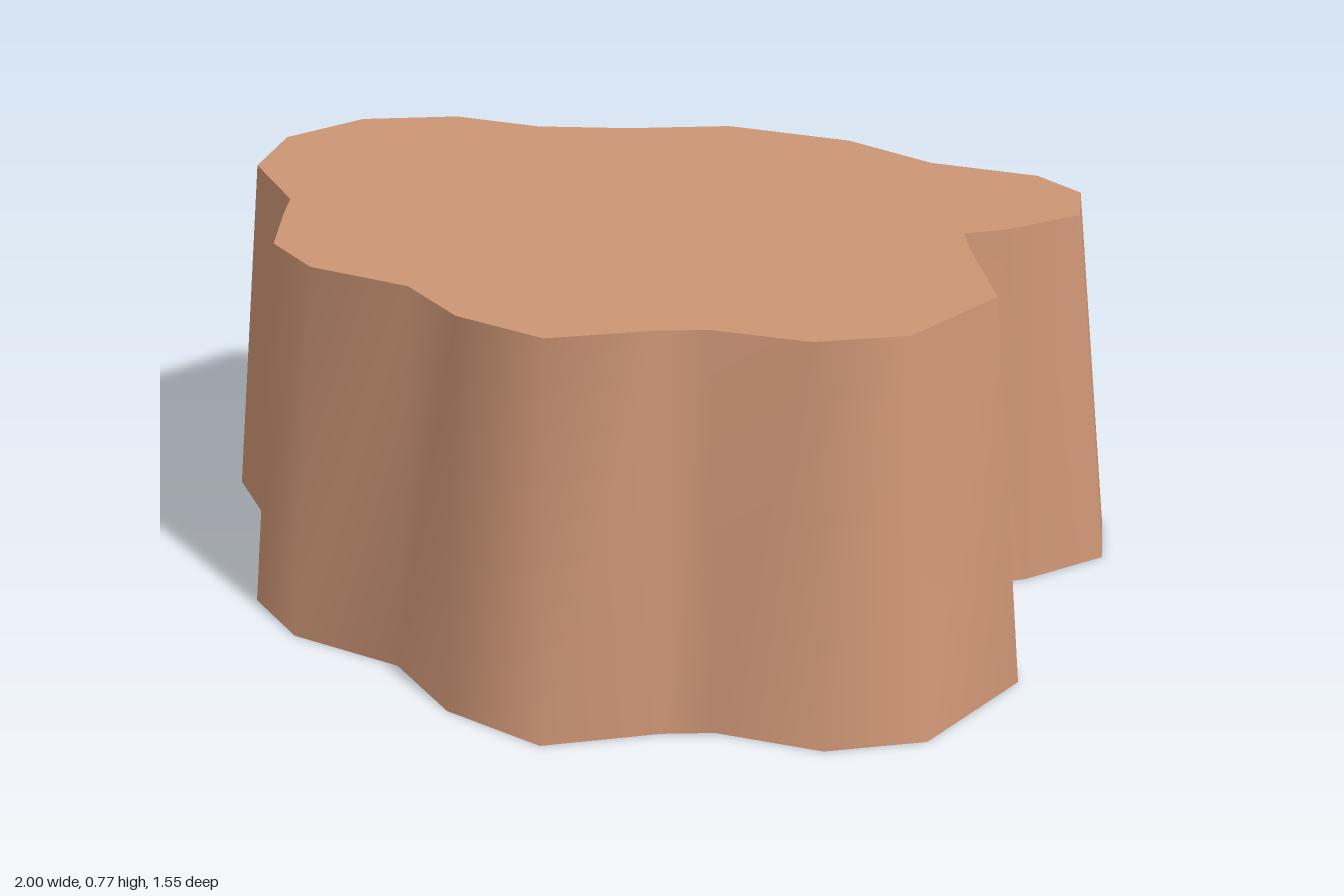
import * as THREE from 'three';

const HEIGHT = 0.775;
const TAPER = 0.9;

// Base outline as [x, z], running from the left (+x) side round by the front
const OUTLINE = [
  [1, 0.05], [0.96, 0.35], [0.82, 0.49], [0.62, 0.55], [0.54, 0.61], [0.38, 0.775],
  [0.16, 0.775], [-0.03, 0.695], [-0.28, 0.72], [-0.45, 0.65], [-0.57, 0.49],
  [-0.64, 0.39], [-0.89, 0.235], [-1, 0.01], [-0.955, -0.23], [-0.77, -0.39],
  [-0.54, -0.435], [-0.34, -0.555], [-0.14, -0.72], [0.18, -0.78], [0.44, -0.725],
  [0.7, -0.775], [0.84, -0.71], [0.91, -0.55], [0.82, -0.36], [0.755, -0.28],
  [0.82, -0.185],
];

// Smooth wall joining the base outline to its smaller copy at the top
function wallGeometry() {
  const n = OUTLINE.length;
  const positions = [];
  const index = [];
  OUTLINE.forEach(([x, z], i) => {
    positions.push(x, 0, z, x * TAPER, HEIGHT, z * TAPER);
    const a = 2 * i;
    const b = 2 * ((i + 1) % n);
    index.push(a, a + 1, b, b, a + 1, b + 1);
  });
  const geometry = new THREE.BufferGeometry();
  geometry.setAttribute('position', new THREE.Float32BufferAttribute(positions, 3));
  geometry.setIndex(index);
  geometry.computeVertexNormals();
  return geometry;
}

// Flat cap facing up (side = 1) or down (side = -1)
function capGeometry(scale, y, side) {
  const points = OUTLINE.map(([x, z]) => new THREE.Vector2(x * scale, -side * z * scale));
  return new THREE.ShapeGeometry(new THREE.Shape(points))
    .rotateX(-side * Math.PI / 2)
    .translate(0, y, 0);
}

export function createModel() {
  const group = new THREE.Group();
  group.name = 'plateau';
  const clay = new THREE.MeshStandardMaterial({ color: 0xcd9575 });
  clay.name = 'clay brown';

  const add = (name, geometry) => {
    const mesh = new THREE.Mesh(geometry, clay);
    mesh.name = name;
    group.add(mesh);
  };
  add('slopingWall', wallGeometry());
  add('topFace', capGeometry(TAPER, HEIGHT, 1));
  add('baseFace', capGeometry(1, 0, -1));
  return group;
}
